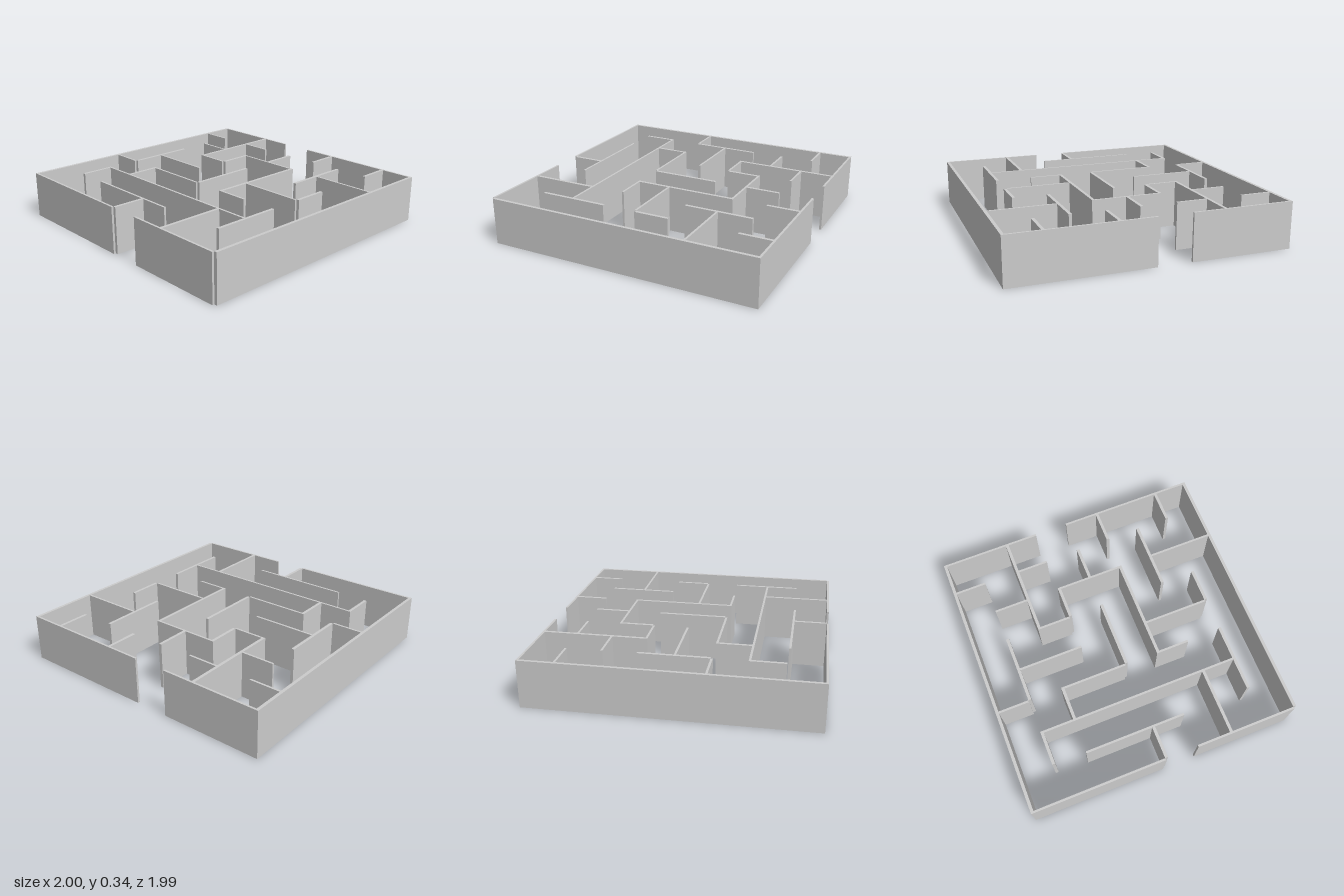
import * as THREE from 'three';

const STEP = 0.2472;   // maze cell size
const HEIGHT = 0.34;
const THICK_X = 0.022; // thickness of walls running front to back
const THICK_Z = 0.0155; // thickness of walls running left to right
const X0 = -(8 * STEP + THICK_X) / 2;
const Z0 = -(8 * STEP + THICK_Z) / 2;

// Walls along x: for each grid row, [start, end] column spans
const ROWS = [
  [[0, 3], [4, 8]],
  [[0, 1], [2, 3]],
  [[1, 2], [3, 5], [6, 8]],
  [[2, 3]],
  [[1, 3], [5, 7]],
  [[0, 1], [2, 4], [5, 6]],
  [[1, 7]],
  [[2, 5]],
  [[0, 4], [5, 8]],
];

// Walls along z: for each grid column, [start, end] row spans
const COLUMNS = [
  [[0, 8]],
  [[3, 5], [6, 7]],
  [[0, 3], [5, 6]],
  [[2, 3]],
  [[1, 2], [3, 5], [7, 8]],
  [[0, 1], [2, 5]],
  [[1, 3], [6, 8]],
  [[0, 1], [3, 4], [5, 7]],
  [[0, 8]],
];

export function createModel() {
  const model = new THREE.Group();
  model.name = 'maze';
  const material = new THREE.MeshStandardMaterial({ color: 0xcccccc });
  const outerWalls = new THREE.Group();
  outerWalls.name = 'outerWalls';
  const innerWalls = new THREE.Group();
  innerWalls.name = 'innerWalls';
  model.add(outerWalls, innerWalls);

  // Place a wall by its minimum corner and footprint
  function addWall(name, line, x, z, width, depth) {
    const wall = new THREE.Mesh(new THREE.BoxGeometry(width, HEIGHT, depth), material);
    wall.name = name;
    wall.position.set(x + width / 2, HEIGHT / 2, z + depth / 2);
    (line === 0 || line === 8 ? outerWalls : innerWalls).add(wall);
  }

  ROWS.forEach((spans, j) => spans.forEach(([a, b]) =>
    addWall('crossWall', j, X0 + a * STEP, Z0 + j * STEP, (b - a) * STEP, THICK_Z)));
  COLUMNS.forEach((spans, i) => spans.forEach(([a, b]) =>
    addWall('lengthWall', i, X0 + i * STEP, Z0 + a * STEP, THICK_X, (b - a) * STEP)));

  return model;
}
